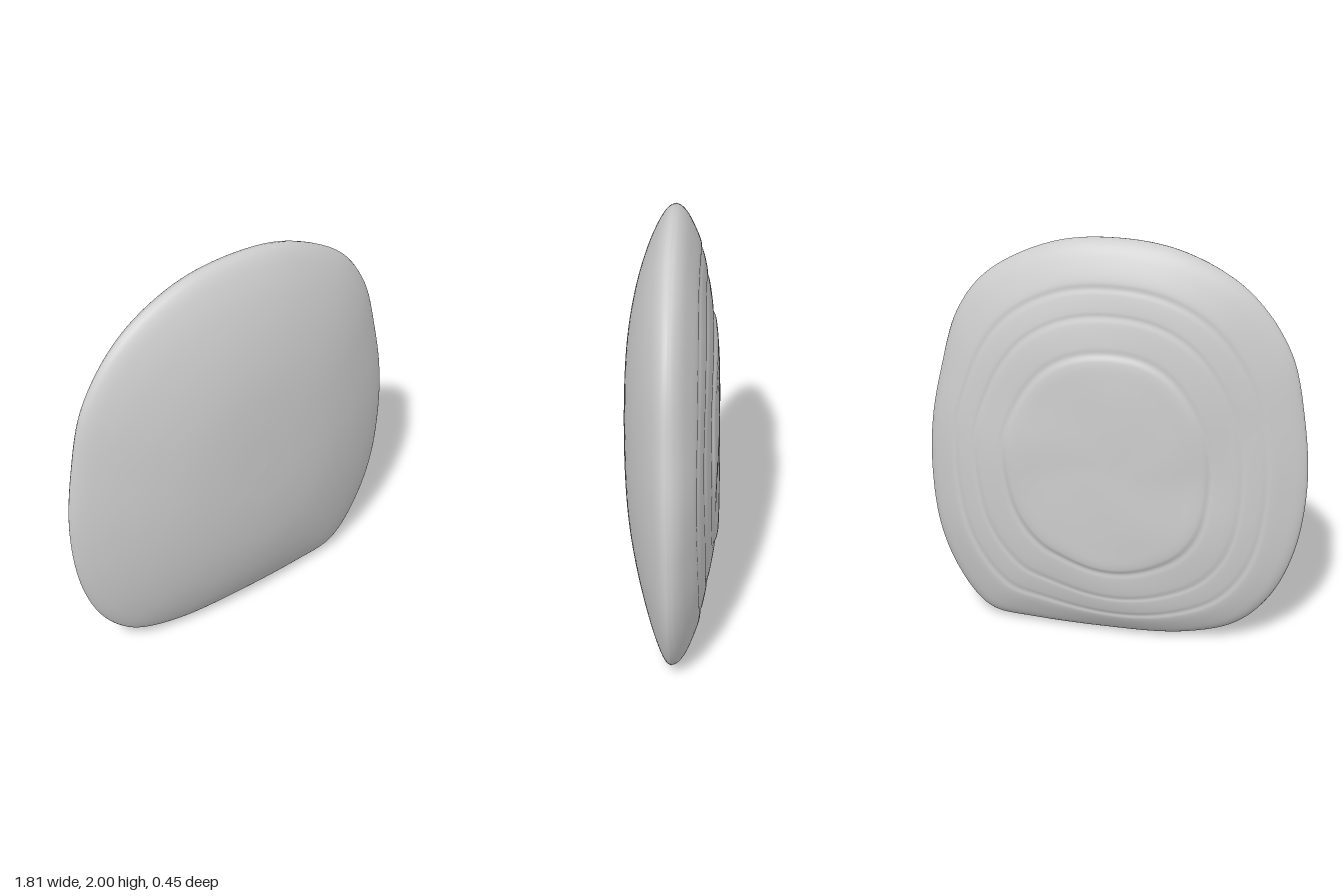
import * as THREE from 'three';

const SIDES = 180, FRONT = 48, BACK = 100;
const CX = 0.01, CY = 0.95;

// Rounded rim seen from the front, clockwise from the top
const RIM = [
  [0.02, 2.0], [0.3, 1.96], [0.6, 1.8], [0.75, 1.6], [0.84, 1.3], [0.89, 1.05], [0.905, 0.8],
  [0.88, 0.5], [0.81, 0.28], [0.7, 0.1], [0.61, 0.03], [0.4, 0.008], [0.05, 0.003], [-0.35, 0.02],
  [-0.6, 0.1], [-0.75, 0.25], [-0.86, 0.5], [-0.908, 0.85], [-0.88, 1.2], [-0.8, 1.53],
  [-0.6, 1.8], [-0.3, 1.96],
];

// Depth of each face against distance from its middle (0) to the rim (1)
const FRONT_DEPTH = [
  [0, 0.223], [0.25, 0.216], [0.47, 0.194], [0.66, 0.155], [0.81, 0.11],
  [0.9, 0.075], [0.965, 0.042], [0.992, 0.019], [1, 0],
];
// The back steps down in shallow worn terraces
const BACK_DEPTH = [
  [0, 0.212], [0.2, 0.21], [0.4, 0.203], [0.51, 0.193], [0.54, 0.18], [0.57, 0.179],
  [0.67, 0.162], [0.7, 0.152], [0.72, 0.151], [0.79, 0.134], [0.815, 0.124], [0.84, 0.121],
  [0.91, 0.09], [0.965, 0.056], [0.992, 0.025], [1, 0],
];

const curve = (pts, closed) => new THREE.CatmullRomCurve3(
  pts.map(([x, y]) => new THREE.Vector3(x, y, 0)), closed, 'centripetal');

export function createModel() {
  const rim = curve(RIM, true).getSpacedPoints(SIDES).slice(0, SIDES);
  const front = curve(FRONT_DEPTH).getPoints(FRONT);
  const back = curve(BACK_DEPTH).getPoints(BACK).reverse().slice(1);
  const rings = [
    ...front.map(p => ({ t: p.x, d: p.y, isBack: false })),
    ...back.map(p => ({ t: p.x, d: p.y, isBack: true })),
  ];

  const pos = [], index = [];
  rings.forEach(({ t, d, isBack }, j) => {
    rim.forEach((p, i) => {
      const a = Math.atan2(p.y - CY, p.x - CX);
      const up = Math.sin(a), side = Math.cos(a);
      let s = t, z;
      if (isBack) {
        // Uneven terrace edges, fading out at the middle and the rim
        const fade = 6 * t * t * (1 - t);
        s += fade * (0.012 * Math.sin(2 * a + 0.6) + 0.012 * Math.sin(3 * a + 2) + 0.005 * Math.sin(7 * a));
        const ripple = 0.003 * fade * Math.sin(5 * a + 9 * t);
        // Fuller towards the bottom, thinner towards one side
        const low = Math.max(0, -up) ** 2, thin = Math.max(0, -side) ** 2;
        z = -d * (1 + 0.12 * t * low - 0.5 * t * t * thin) + ripple - 0.012 * (1 - t * t);
      } else {
        // Fuller, blunter shoulder along the top
        z = d * (1 + 0.25 * t * t * Math.max(0, up) ** 2);
      }
      // Inner rings relax from the rim outline to a plain oval
      const oval = 1 - t * t;
      const r = 1 / Math.hypot(side / 0.89, up / 1.06);
      const x = CX + s * THREE.MathUtils.lerp(p.x - CX, side * r, oval);
      const y = CY + s * THREE.MathUtils.lerp(p.y - CY, up * r, oval);
      // The rim leans slightly back on one side
      const lean = t * t * (-0.012 + 0.018 * p.x + 0.012 * up);
      pos.push(x, y, z + lean);

      if (j === rings.length - 1) return;
      const A = j * SIDES + i, C = j * SIDES + (i + 1) % SIDES;
      const B = A + SIDES, D = C + SIDES;
      if (j > 0) index.push(A, C, B);
      if (j < rings.length - 2) index.push(B, C, D);
    });
  });

  const geometry = new THREE.BufferGeometry();
  geometry.setAttribute('position', new THREE.Float32BufferAttribute(pos, 3));
  geometry.setIndex(index);
  geometry.computeVertexNormals();

  const stone = new THREE.MeshStandardMaterial({ color: 0xcccccc });
  stone.name = 'paleGreyStone';
  const slab = new THREE.Mesh(geometry, stone);
  slab.name = 'roundedStoneSlab';

  const group = new THREE.Group();
  group.name = 'stone';
  group.add(slab);
  return group;
}
